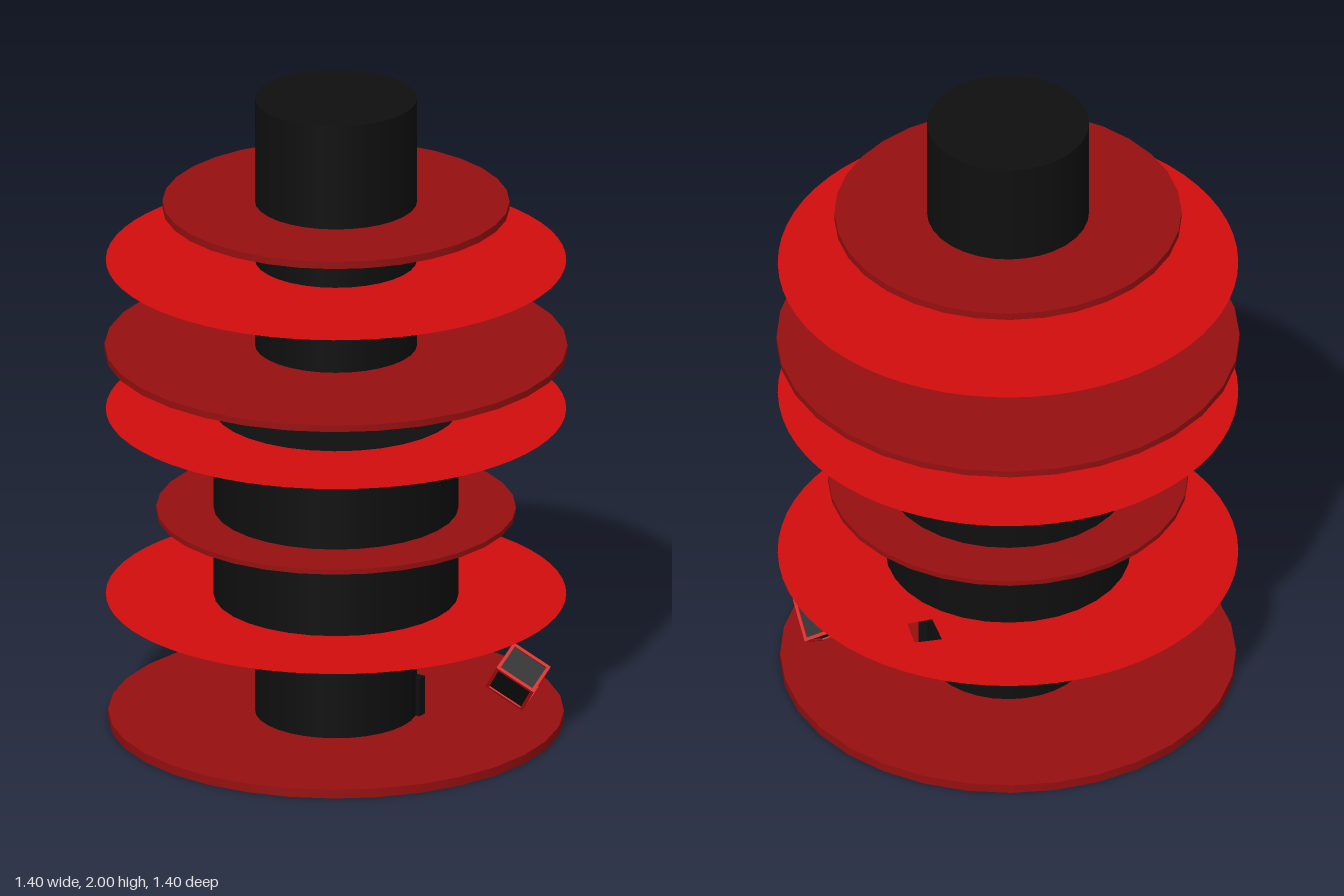
import * as THREE from 'three';

export function createModel() {
  const root = new THREE.Group();
  const black = new THREE.MeshStandardMaterial({ name: 'black', color: 0x0f0f0f });
  const darkRed = new THREE.MeshStandardMaterial({ name: 'dark red', color: 0x960f10 });
  const brightRed = new THREE.MeshStandardMaterial({ name: 'bright red', color: 0xd20d0d, side: THREE.DoubleSide });

  const add = (name, geometry, material, parent = root) => {
    const mesh = new THREE.Mesh(geometry, material);
    mesh.name = name;
    parent.add(mesh);
    return mesh;
  };
  const cylinder = (name, radius, y0, y1, material) => {
    const mesh = add(name, new THREE.CylinderGeometry(radius, radius, y1 - y0, 32), material);
    mesh.position.y = (y0 + y1) / 2;
  };

  // Central column and the wider collar with slightly sloped ends
  cylinder('column', 0.245, 0.02, 2, black);
  const collar = [[0, 0.39], [0.245, 0.39], [0.37, 0.398], [0.37, 0.398], [0.37, 1.003], [0.37, 1.003], [0.245, 1.011], [0, 1.011]];
  add('collar', new THREE.LatheGeometry(collar.map(([r, y]) => new THREE.Vector2(r, y)), 32), black);

  // Thick dark plates: radius, bottom, top
  [[0.688, 0, 0.028], [0.543, 0.667, 0.683], [0.699, 1.185, 1.206], [0.524, 1.645, 1.668]]
    .forEach(([r, y0, y1], i) => cylinder(`darkPlate${i + 1}`, r, y0, y1, darkRed));

  // Paper-thin bright discs; the lowest has a small hole at the back
  [0.404, 1.0, 1.48].forEach((y, i) => {
    const shape = new THREE.Shape();
    shape.absarc(0, 0, 0.695, 0, Math.PI * 2);
    if (i === 0) {
      const hole = new THREE.Path();
      [[-0.08, 0.49], [0, 0.42], [0.05, 0.48], [-0.02, 0.55]]
        .forEach(([x, z], k) => (k ? hole.lineTo(x, z) : hole.moveTo(x, z)));
      hole.closePath();
      shape.holes.push(hole);
    }
    const disc = add(`brightDisc${i + 1}`, new THREE.ShapeGeometry(shape, 32), brightRed);
    disc.rotation.x = -Math.PI / 2;
    disc.position.y = y;
  });

  // Small fin at the foot of the column
  const fin = add('footFin', new THREE.BoxGeometry(0.04, 0.13, 0.03), black);
  fin.position.set(0.22, 0.085, -0.11);

  // Tilted box with bright edges
  const box = new THREE.Group();
  box.name = 'edgedBox';
  const size = [0.124, 0.124, 0.097];
  add('boxBody', new THREE.BoxGeometry(...size), black, box);
  for (let axis = 0; axis < 3; axis++) {
    const u = (axis + 1) % 3, v = (axis + 2) % 3;
    for (const su of [-1, 1]) for (const sv of [-1, 1]) {
      const dims = [0.01, 0.01, 0.01];
      dims[axis] = size[axis] + 0.01;
      const pos = [0, 0, 0];
      pos[u] = su * size[u] / 2;
      pos[v] = sv * size[v] / 2;
      add('boxEdge', new THREE.BoxGeometry(...dims), brightRed, box).position.set(...pos);
    }
  }
  const b = new THREE.Vector3(0.81, -0.507, -0.295).normalize();
  const n = b.clone().cross(new THREE.Vector3(-0.59, -0.697, -0.405)).normalize();
  const c = n.clone().cross(b);
  box.quaternion.setFromRotationMatrix(new THREE.Matrix4().makeBasis(b, c, n));
  box.position.set(0.476, 0.15, -0.277);
  root.add(box);

  return root;
}
